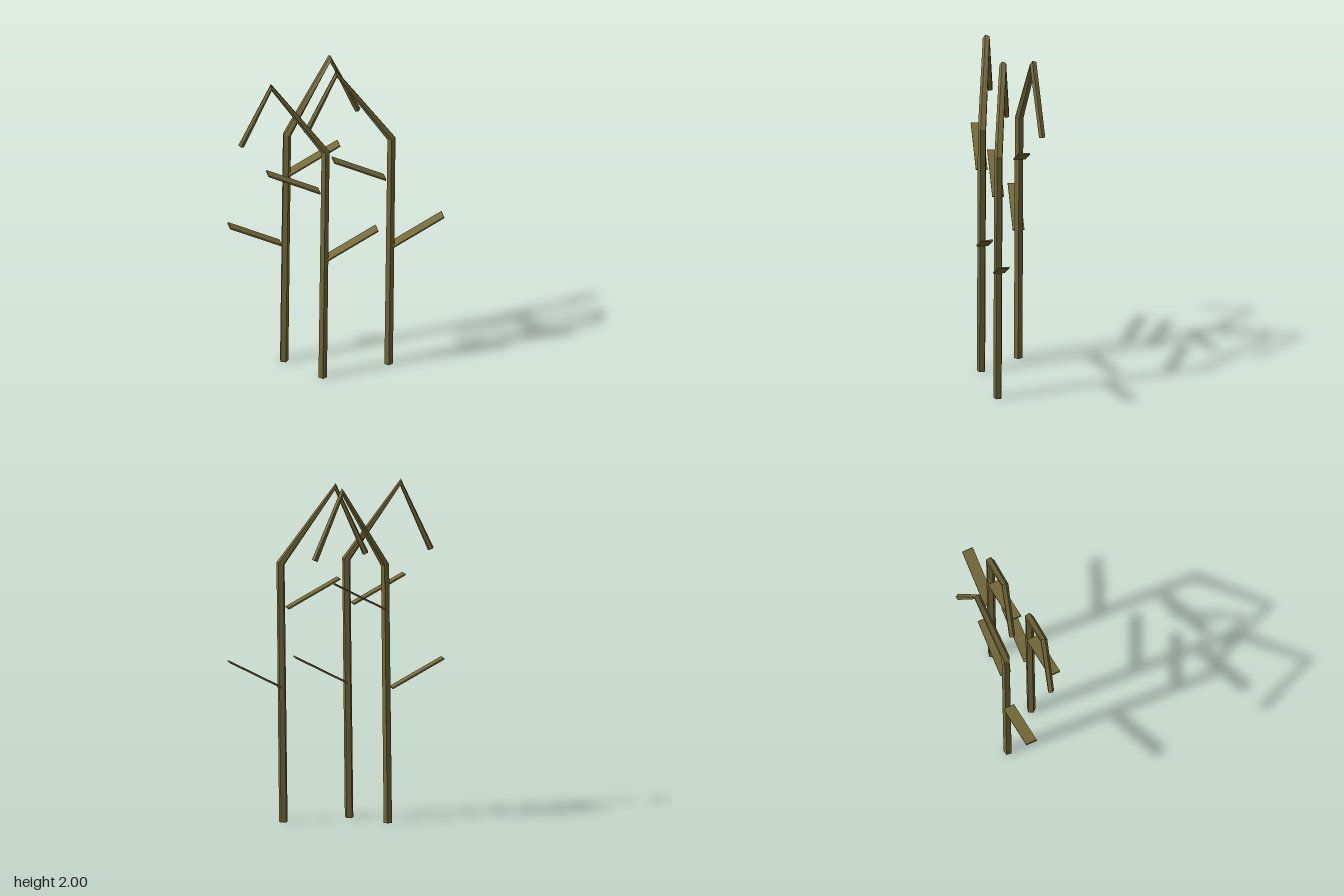
import * as THREE from 'three';

const olive = new THREE.MeshStandardMaterial({ color: 0x756a38, flatShading: true });
olive.name = 'dry olive';

// Five-sided bar along a bent path, with mitred rings at the bends
function stalkGeometry(points, radii, sides = 5) {
  const p = points.map((a) => new THREE.Vector3(...a));
  const dir = (i) => p[i + 1].clone().sub(p[i]).normalize();
  const normal = dir(1).cross(dir(2)).normalize();
  if (normal.z < 0) normal.negate();
  const pos = [], index = [];
  p.forEach((c, i) => {
    const t = i === 0 ? dir(0) : i === p.length - 1 ? dir(i - 1) : dir(i - 1).add(dir(i)).normalize();
    const n = normal.clone().addScaledVector(t, -normal.dot(t)).normalize();
    const b = t.clone().cross(n);
    for (let k = 0; k < sides; k++) {
      const a = (k / sides) * Math.PI * 2;
      const v = c.clone().addScaledVector(n, Math.cos(a) * radii[i]).addScaledVector(b, Math.sin(a) * radii[i]);
      pos.push(v.x, v.y, v.z);
    }
  });
  for (let i = 0; i < p.length - 1; i++) {
    for (let k = 0; k < sides; k++) {
      const a = i * sides + k, b = i * sides + ((k + 1) % sides);
      index.push(a, b, b + sides, a, b + sides, a + sides);
    }
  }
  // End caps
  const last = (p.length - 1) * sides;
  for (let k = 1; k < sides - 1; k++) index.push(0, k + 1, k, last, last + k, last + k + 1);
  const g = new THREE.BufferGeometry();
  g.setAttribute('position', new THREE.Float32BufferAttribute(pos, 3));
  g.setIndex(index);
  const flat = g.toNonIndexed();
  flat.computeVertexNormals();
  return flat;
}

// Thin flat leaf rising from (x0, y0) to (x1, y1)
function leaf(name, x0, y0, x1, y1, z) {
  const m = new THREE.Mesh(new THREE.BoxGeometry(Math.hypot(x1 - x0, y1 - y0), 0.009, 0.068), olive);
  m.position.set((x0 + x1) / 2, (y0 + y1) / 2, z);
  m.rotation.z = Math.atan2(y1 - y0, x1 - x0);
  m.name = name;
  return m;
}

function plant(name, path, lowX, highX, side, z) {
  const g = new THREE.Group();
  g.name = name;
  const stalk = new THREE.Mesh(stalkGeometry(path, [0.026, 0.026, 0.022, 0.019]), olive);
  stalk.name = 'bentStalk';
  g.add(stalk,
    leaf('lowerLeaf', lowX, 0.8, lowX + side * 0.31, 0.963, z),
    leaf('upperLeaf', highX, 1.266, highX - side * 0.31, 1.43, z));
  return g;
}

export function createModel() {
  const model = new THREE.Group();
  model.name = 'reeds';
  model.add(
    plant('leftReed', [[0.292, 0, 0.1], [0.31, 1.53, 0.096], [-0.005, 1.98, 0.04], [-0.178, 1.585, 0.004]], 0.31, 0.27, 1, 0.096),
    plant('frontReed', [[-0.118, 0, 0.157], [-0.1, 1.53, 0.153], [-0.412, 1.98, 0.098], [-0.585, 1.585, 0.062]], -0.1, -0.138, 1, 0.153),
    plant('backReed', [[-0.293, 0, -0.076], [-0.275, 1.53, -0.08], [-0.002, 1.98, -0.137], [0.172, 1.585, -0.172]], -0.312, -0.272, -1, -0.08),
  );
  return model;
}
